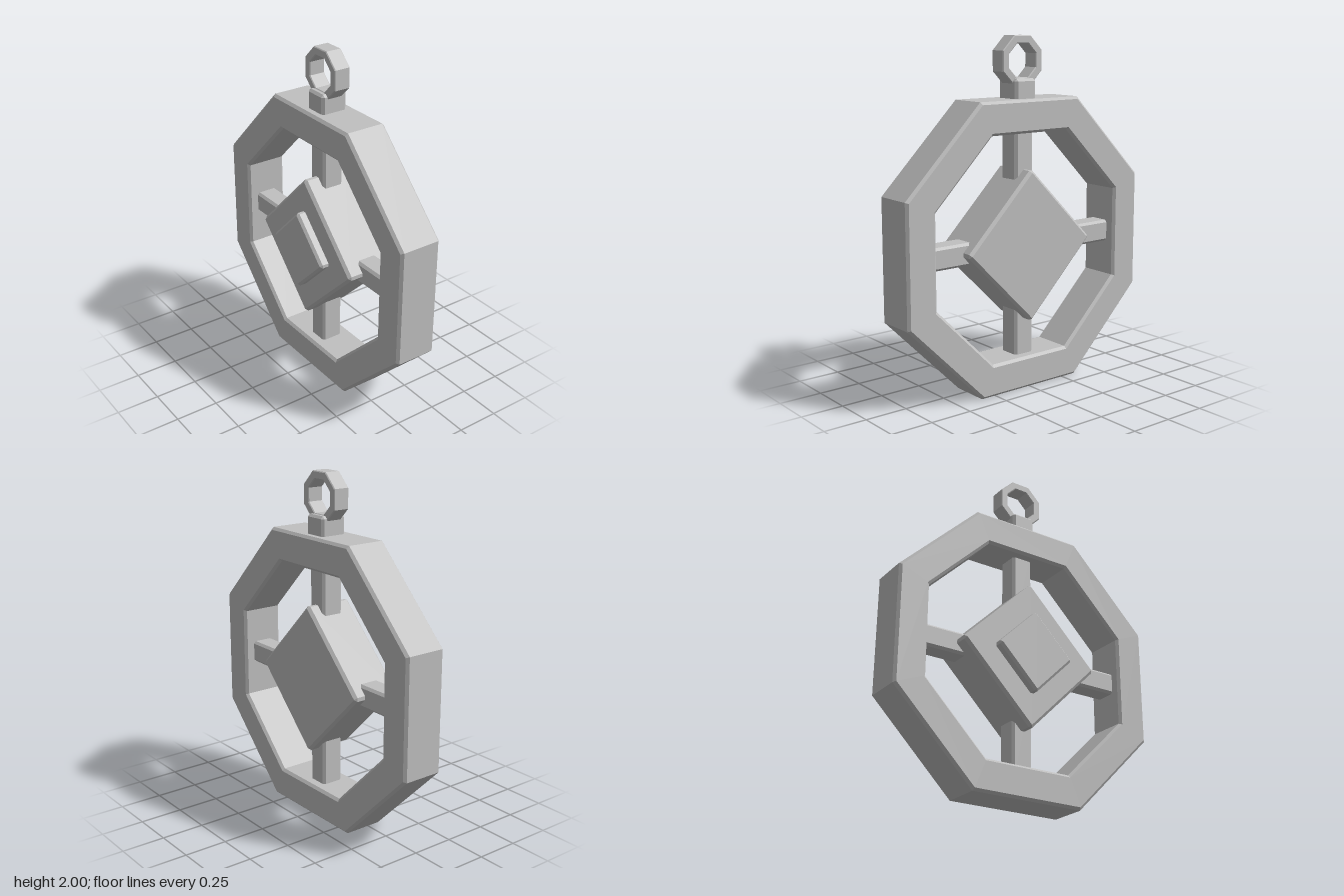
import * as THREE from 'three';
import { ConvexGeometry } from 'three/addons/geometries/ConvexGeometry.js';

const CENTER_Y = 0.828, MID_Z = -0.037;

// Box with every edge chamfered by b; h* are half sizes
function chamferBox(hx, hy, hz, b) {
  const pts = [];
  for (const x of [-1, 1]) for (const y of [-1, 1]) for (const z of [-1, 1]) {
    pts.push(
      new THREE.Vector3(x * hx, y * (hy - b), z * (hz - b)),
      new THREE.Vector3(x * (hx - b), y * hy, z * (hz - b)),
      new THREE.Vector3(x * (hx - b), y * (hy - b), z * hz));
  }
  return new ConvexGeometry(pts);
}

// Eight-sided ring facing +z with chamfered rims; radii are measured to the flats
function octagonRing(outer, inner, hz, b) {
  const profile = [
    [outer, -hz + b], [outer, hz - b], [outer - b, hz], [inner + b, hz],
    [inner, hz - b], [inner, -hz + b], [inner + b, -hz], [outer - b, -hz], [outer, -hz + b],
  ].map(([r, y]) => new THREE.Vector2(r / Math.cos(Math.PI / 8), y));
  const geo = new THREE.LatheGeometry(profile, 8, Math.PI / 8).rotateX(Math.PI / 2).toNonIndexed();
  geo.computeVertexNormals();
  return geo;
}

export function createModel() {
  const group = new THREE.Group();
  const metal = new THREE.MeshStandardMaterial({ color: 0xc0c0c0 });
  metal.name = 'greyMetal';

  const add = (name, geo, x, y, z) => {
    const mesh = new THREE.Mesh(geo, metal);
    mesh.name = name;
    mesh.position.set(x, y, z);
    group.add(mesh);
    return mesh;
  };

  // Large frame and its four spokes
  add('frame', octagonRing(0.827, 0.641, 0.127, 0.015), 0, CENTER_Y, MID_Z);
  ['rightSpoke', 'topSpoke', 'leftSpoke', 'bottomSpoke'].forEach((name, i) => {
    const a = Math.PI - i * Math.PI / 2;
    const spoke = add(name, chamferBox(0.24, 0.064, 0.066, 0.014),
      Math.cos(a) * 0.45, CENTER_Y + Math.sin(a) * 0.45, MID_Z);
    spoke.rotation.z = a;
  });

  // Thick central diamond with a smaller raised one on its front
  add('centerDiamond', chamferBox(0.311, 0.311, 0.1445, 0.016), 0, CENTER_Y + 0.002, -0.0265)
    .rotation.z = Math.PI / 4;
  add('raisedDiamond', chamferBox(0.1725, 0.1725, 0.05, 0.014), 0, CENTER_Y + 0.002, 0.121)
    .rotation.z = Math.PI / 4;

  // Hanging loop on its block
  add('loopBase', chamferBox(0.072, 0.07, 0.08, 0.014), 0, 1.695, MID_Z);
  add('hangingLoop', octagonRing(0.138, 0.093, 0.049, 0.005), 0, 1.862, MID_Z);

  return group;
}
